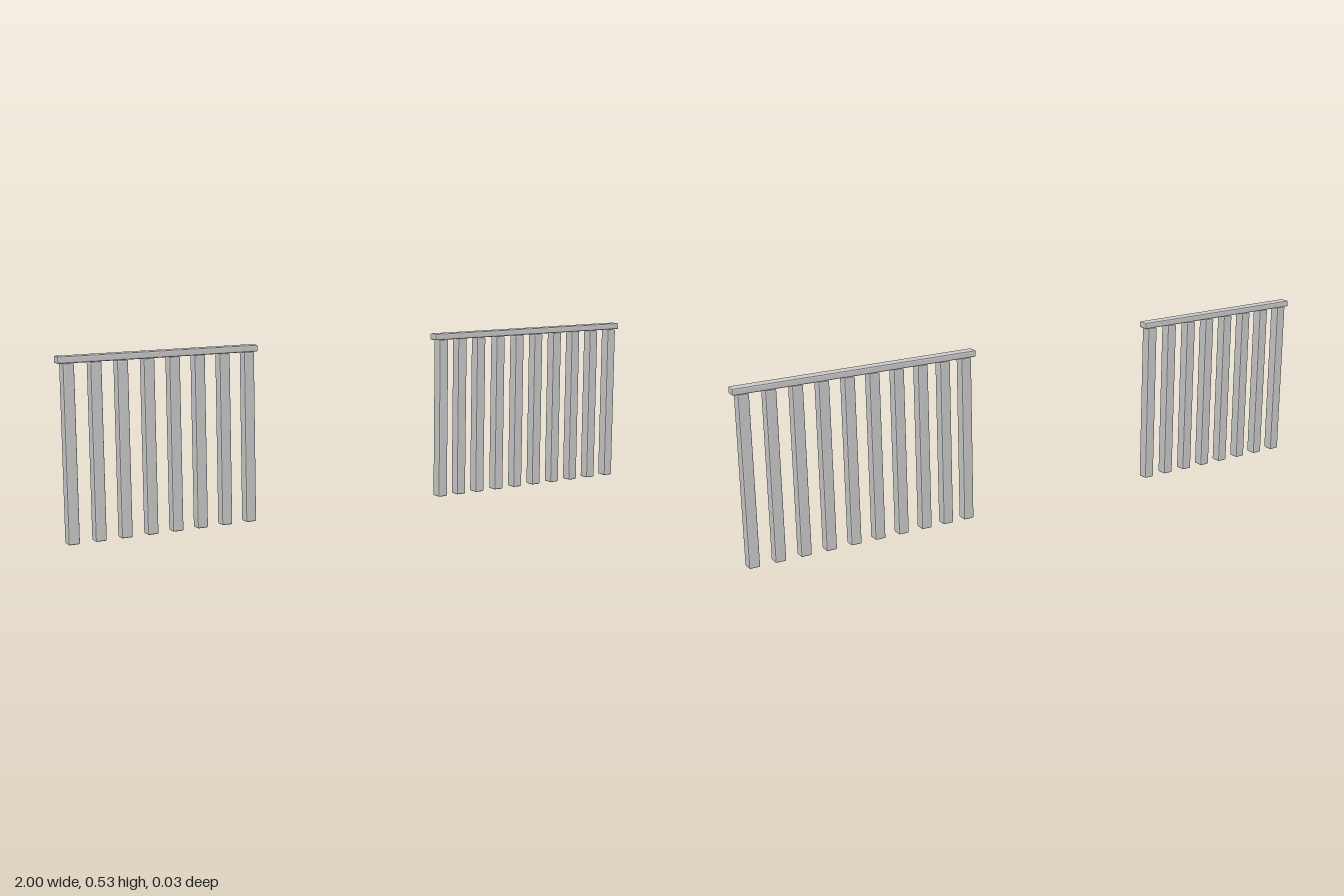
import * as THREE from 'three';
import { RoundedBoxGeometry } from 'three/addons/geometries/RoundedBoxGeometry.js';

const DEPTH = 0.034, RAIL_BOTTOM = 0.51, TOP = 0.53, BEVEL = 0.004;

export function createModel() {
  const material = new THREE.MeshStandardMaterial({ color: 0xcccccc, flatShading: true });
  const model = new THREE.Group();
  model.name = 'railings';

  // Box with slim chamfered edges
  const bar = (name, width, y0, y1, x) => {
    const mesh = new THREE.Mesh(new RoundedBoxGeometry(width, y1 - y0, DEPTH, 1, BEVEL), material);
    mesh.name = name;
    mesh.position.set(x, (y0 + y1) / 2, 0);
    return mesh;
  };

  // One railing: a top rail carried by a row of square balusters
  const railing = (name, x0, x1, posts) => {
    const group = new THREE.Group();
    group.name = name;
    group.add(bar('topRail', x1 - x0, RAIL_BOTTOM, TOP, (x0 + x1) / 2));
    posts.forEach((x) => group.add(bar('baluster', 0.033, 0, RAIL_BOTTOM, x)));
    model.add(group);
  };

  // Balusters are spaced slightly unevenly
  railing('rightRailing', -1, -0.39,
    [-0.969, -0.89, -0.812, -0.733, -0.655, -0.577, -0.498, -0.419]);
  railing('leftRailing', 0.24, 1,
    [0.273, 0.345, 0.419, 0.497, 0.575, 0.653, 0.732, 0.811, 0.89, 0.969]);
  return model;
}
